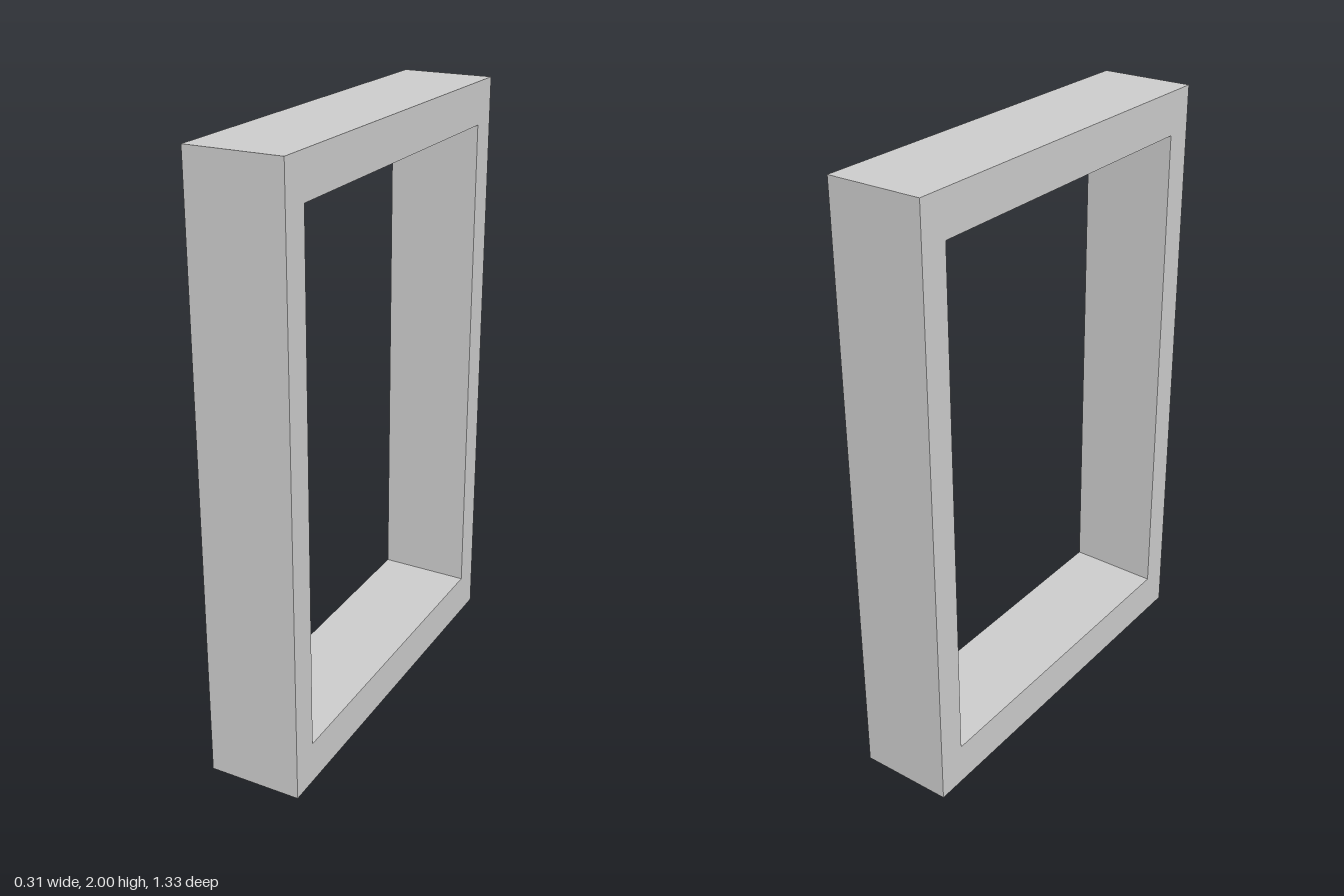
import * as THREE from 'three';

const HEIGHT = 2, LENGTH = 1.333, DEPTH = 0.312;
const RAIL = 0.142; // thickness of top and bottom
const POST = 0.097; // thickness of the upright sides

// Trace a rectangle centred on x = 0 between two heights
function rectangle(path, halfWidth, bottom, top) {
  path.moveTo(-halfWidth, bottom);
  path.lineTo(halfWidth, bottom);
  path.lineTo(halfWidth, top);
  path.lineTo(-halfWidth, top);
  path.closePath();
  return path;
}

export function createModel() {
  const group = new THREE.Group();
  group.name = 'rectangularFrame';

  // Frame: outer rectangle with a rectangular opening, facing sideways
  const outline = rectangle(new THREE.Shape(), LENGTH / 2, 0, HEIGHT);
  outline.holes.push(rectangle(new THREE.Path(), LENGTH / 2 - POST, RAIL, HEIGHT - RAIL));
  const geometry = new THREE.ExtrudeGeometry(outline, { depth: DEPTH, bevelEnabled: false });
  geometry.translate(0, 0, -DEPTH / 2);
  geometry.rotateY(Math.PI / 2);

  const frame = new THREE.Mesh(geometry, new THREE.MeshStandardMaterial({ color: 0xcccccc }));
  frame.name = 'frame';
  group.add(frame);
  return group;
}
